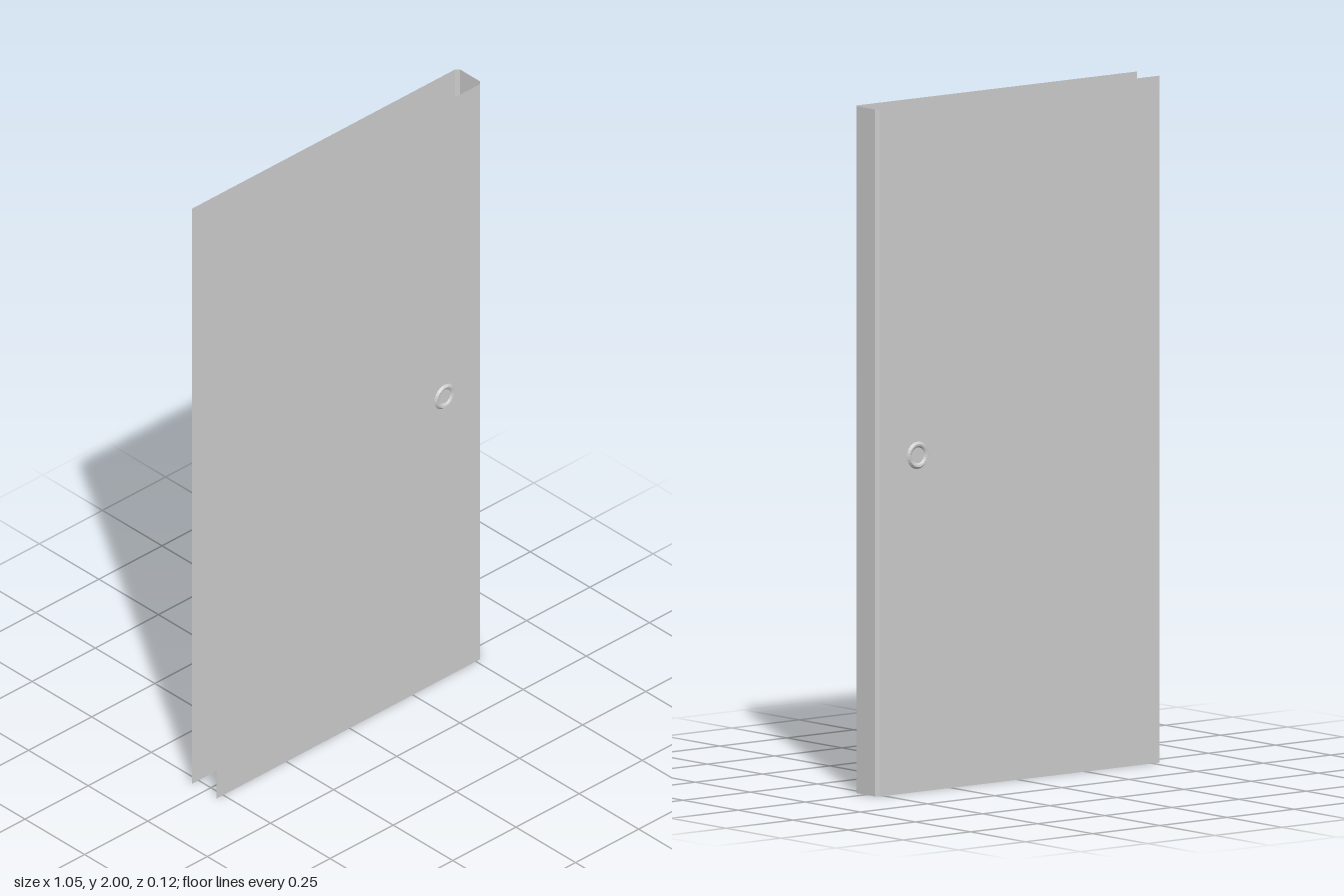
import * as THREE from 'three';

const HEIGHT = 2, HALF_W = 0.526, HALF_D = 0.052, BEVEL = 0.01;

export function createModel() {
  const group = new THREE.Group();
  const material = new THREE.MeshStandardMaterial({
    color: 0xcccccc, flatShading: true, side: THREE.DoubleSide,
  });

  // Thin upright sheet between two plan points [x, z]
  function sheet(name, [x0, z0], [x1, z1]) {
    const geometry = new THREE.PlaneGeometry(Math.hypot(x1 - x0, z1 - z0), HEIGHT);
    const mesh = new THREE.Mesh(geometry, material);
    mesh.name = name;
    mesh.position.set((x0 + x1) / 2, HEIGHT / 2, (z0 + z1) / 2);
    mesh.rotation.y = -Math.atan2(z1 - z0, x1 - x0);
    group.add(mesh);
  }

  // Door shell: open at the top, bottom and hinge edge
  const plan = [
    [-HALF_W, HALF_D], [HALF_W - BEVEL, HALF_D], [HALF_W, HALF_D - BEVEL],
    [HALF_W, -HALF_D + BEVEL], [HALF_W - BEVEL, -HALF_D], [-HALF_W, -HALF_D],
  ];
  const names = ['frontPanel', 'frontBevel', 'latchEdge', 'backBevel', 'backPanel'];
  names.forEach((name, i) => sheet(name, plan[i], plan[i + 1]));

  // Round recessed pull on each face
  const profile = [
    [0, 0.001], [0.023, 0.001], [0.028, 0.006], [0.034, 0.007], [0.04, 0],
  ].map(([r, y]) => new THREE.Vector2(r, y));
  const pullGeometry = new THREE.LatheGeometry(profile, 24);
  for (const side of [1, -1]) {
    const pull = new THREE.Mesh(pullGeometry, material);
    pull.name = side > 0 ? 'frontPull' : 'backPull';
    pull.rotation.x = side * Math.PI / 2;
    pull.position.set(0.375, 0.98, side * HALF_D);
    group.add(pull);
  }
  return group;
}
